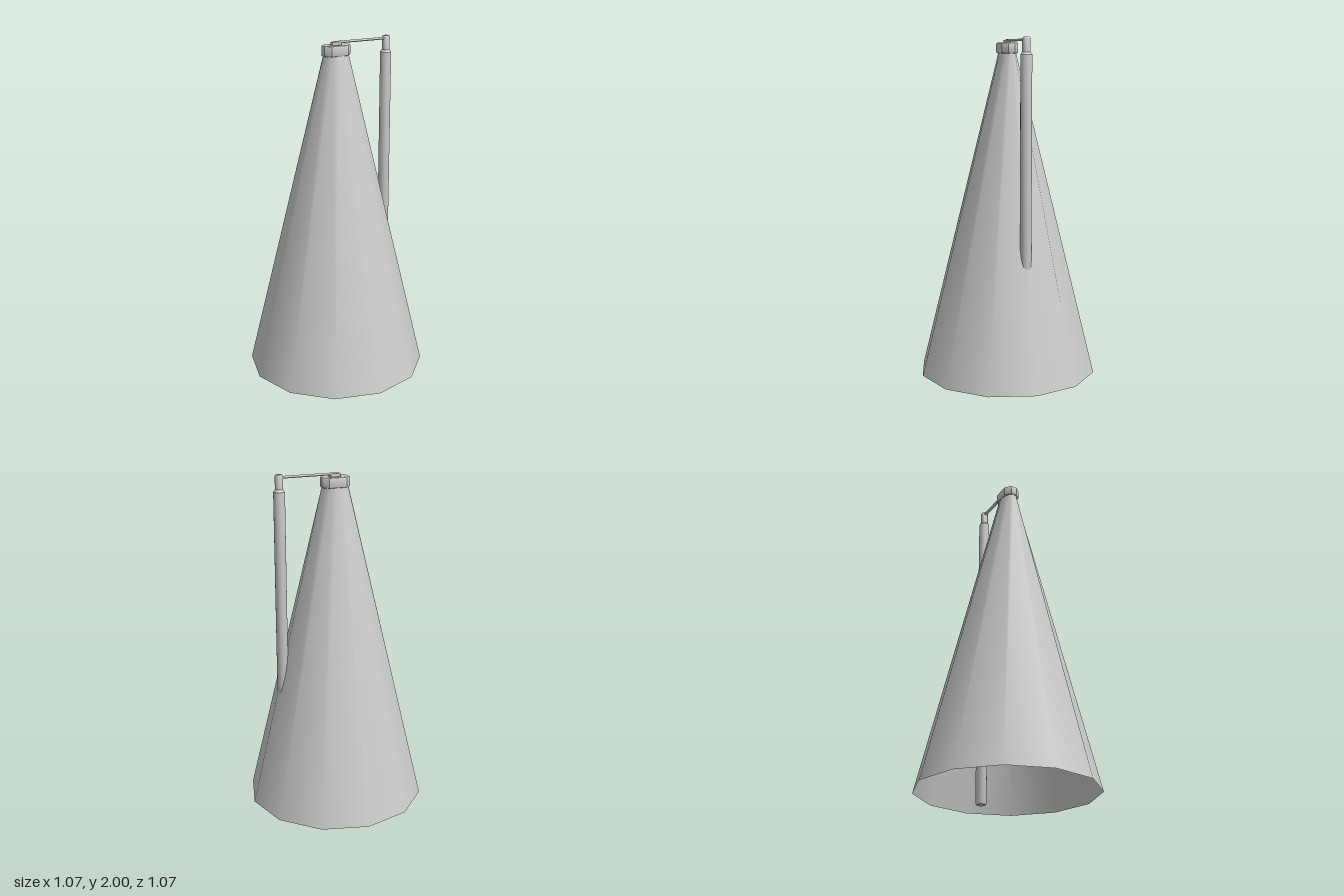
import * as THREE from 'three';
import { toCreasedNormals } from 'three/addons/utils/BufferGeometryUtils.js';

const material = new THREE.MeshStandardMaterial({ color: 0xcccccc, side: THREE.DoubleSide });

function add(parent, name, geometry, x = 0, y = 0, z = 0) {
  const mesh = new THREE.Mesh(geometry, material);
  mesh.name = name;
  mesh.position.set(x, y, z);
  parent.add(mesh);
  return mesh;
}

// Open twelve-sided cone whose mouth narrows to a flattened oval
function coneShell(height, baseRadius, topX, topZ) {
  const geometry = new THREE.CylinderGeometry(1, 1, height, 12, 1, true);
  geometry.translate(0, height / 2, 0);
  const p = geometry.attributes.position;
  for (let i = 0; i < p.count; i++) {
    const t = p.getY(i) / height;
    p.setX(i, p.getX(i) * THREE.MathUtils.lerp(baseRadius, topX, t));
    p.setZ(i, p.getZ(i) * THREE.MathUtils.lerp(baseRadius, topZ, t));
  }
  geometry.computeVertexNormals();
  // Join the shading across the seam
  const n = geometry.attributes.normal;
  for (const [a, b] of [[0, 12], [13, 25]]) {
    const v = new THREE.Vector3().fromBufferAttribute(n, a)
      .add(new THREE.Vector3().fromBufferAttribute(n, b)).normalize();
    n.setXYZ(a, v.x, v.y, v.z);
    n.setXYZ(b, v.x, v.y, v.z);
  }
  return geometry;
}

// Bevelled octagonal cap with a central slot
function capGeometry() {
  const x = 0.077, z = 0.042, c = 0.027;
  const corners = [[x, z - c], [x - c, z], [c - x, z], [-x, z - c],
    [-x, c - z], [c - x, -z], [x - c, -z], [x, c - z]];
  const shape = new THREE.Shape(corners.map(([a, b]) => new THREE.Vector2(a, b)));
  const hole = [[-0.036, -0.026], [-0.036, 0.026], [0.036, 0.026], [0.036, -0.026]];
  shape.holes.push(new THREE.Path(hole.map(([a, b]) => new THREE.Vector2(a, b))));
  const geometry = new THREE.ExtrudeGeometry(shape, {
    depth: 0.044, bevelThickness: 0.009, bevelSize: 0.008, bevelSegments: 2,
  });
  geometry.rotateX(-Math.PI / 2);
  return toCreasedNormals(geometry, 0.6);
}

export function createModel() {
  const model = new THREE.Group();
  model.name = 'coneWithSideRod';

  add(model, 'coneBody', coneShell(1.92, 0.533, 0.08, 0.045));

  // Mouth cap, its floor and the clamp on top
  const cap = new THREE.Group();
  cap.name = 'topCap';
  model.add(cap);
  add(cap, 'capRing', capGeometry(), 0, 1.918, 0);
  add(cap, 'capFloor', new THREE.BoxGeometry(0.08, 0.025, 0.06), 0, 1.935, 0);
  add(cap, 'clampBlock', new THREE.BoxGeometry(0.056, 0.04, 0.024), 0, 1.967, 0);

  // Upright rod running down through the cone wall to the ground
  const postX = 0.335;
  const profile = [[0, 0.005], [0.027, 0.005], [0.033, 0.014], [0.033, 1.905],
    [0.023, 1.918], [0.023, 1.992], [0.018, 2], [0, 2]]
    .map(([r, y]) => new THREE.Vector2(r, y));
  add(model, 'sidePost', toCreasedNormals(new THREE.LatheGeometry(profile, 16), 0.6), postX);

  // Slim arm joining the clamp to the post
  const arm = new THREE.CylinderGeometry(0.011, 0.011, postX + 0.01, 10);
  arm.rotateZ(Math.PI / 2);
  arm.scale(1, 0.65, 1);
  add(model, 'connectingArm', arm, postX / 2, 1.984, 0);

  return model;
}
